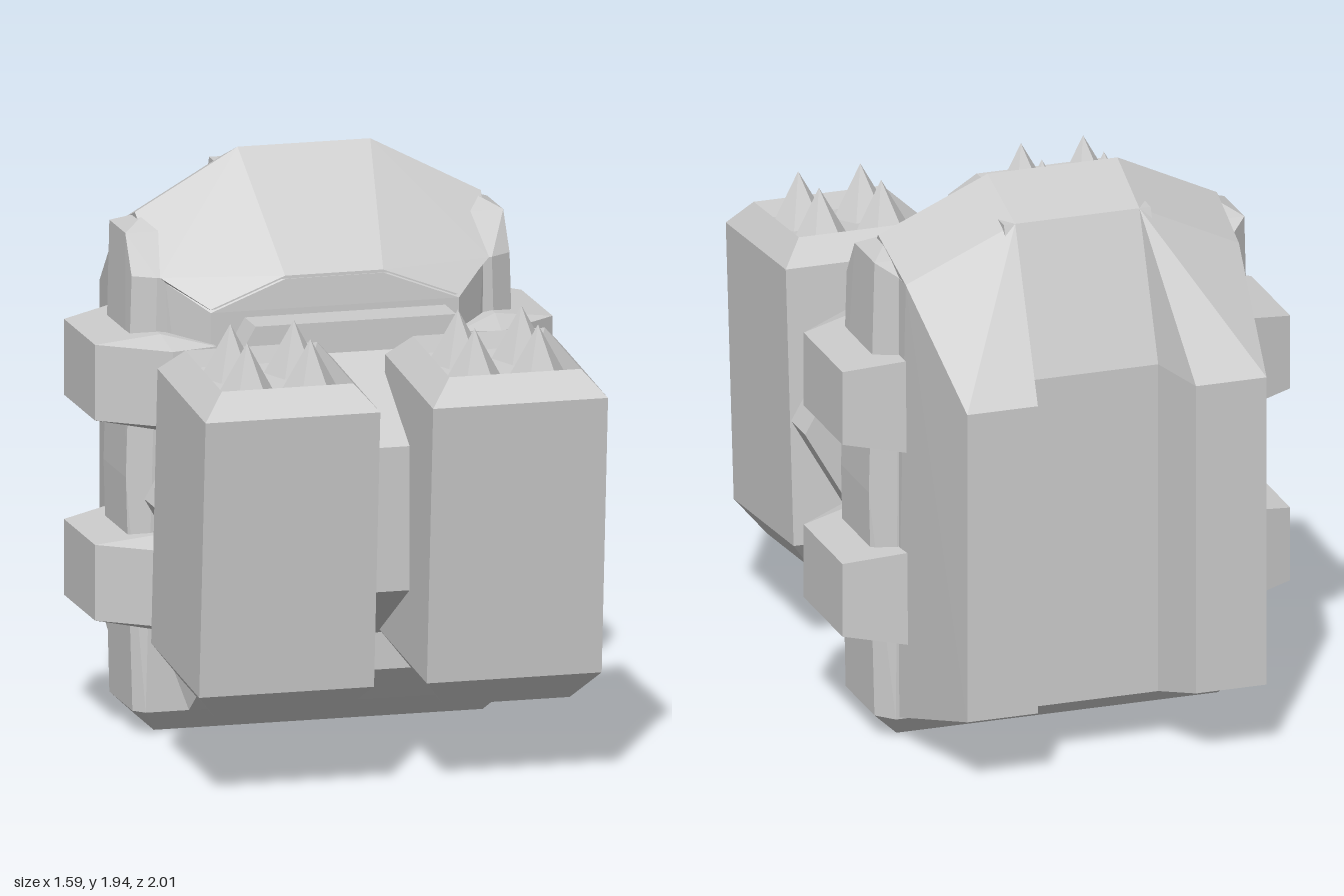
import * as THREE from 'three';
import { ConvexGeometry } from 'three/addons/geometries/ConvexGeometry.js';

const material = new THREE.MeshStandardMaterial({ color: 0xcccccc, flatShading: true });

function part(parent, name, geometry) {
  const mesh = new THREE.Mesh(geometry, material);
  mesh.name = name;
  parent.add(mesh);
  return mesh;
}

// Faceted solid around [x, y, z] points; mirrored adds the -x twin of each point
function solid(points, { mirrored = false, side = 1 } = {}) {
  const list = [];
  for (const [x, y, z] of points) {
    list.push(new THREE.Vector3(x * side, y, z));
    if (mirrored) list.push(new THREE.Vector3(-x, y, z));
  }
  return new ConvexGeometry(list);
}

// Six-sided disc along z with corners at left and right
function hexDisc(frontRadius, backRadius, y, zBack, zFront) {
  return new THREE.CylinderGeometry(frontRadius, backRadius, zFront - zBack, 6, 1, false, Math.PI / 2)
    .rotateX(Math.PI / 2).translate(0, y, (zBack + zFront) / 2);
}

// Square canister with bevelled ends, recessed top and four spikes
function makePod(x) {
  const pod = new THREE.Group();
  pod.name = 'pod';
  const profile = [[0, -0.59], [0.218, -0.59], [0.303, -0.482], [0.303, 0.482],
    [0.228, 0.565], [0.205, 0.51], [0, 0.51]]
    .map(([r, y]) => new THREE.Vector2(r * Math.SQRT2, y));
  part(pod, 'podCasing', new THREE.LatheGeometry(profile, 4, Math.PI / 4));
  for (const sx of [-1, 1]) {
    for (const sz of [-1, 1]) {
      const spike = part(pod, 'spike', new THREE.ConeGeometry(0.1, 0.18, 6, 1, false, Math.PI / 6));
      spike.position.set(sx * 0.11, 0.6, sz * 0.105);
    }
  }
  pod.position.set(x, 0.875, 0.665);
  pod.rotation.x = 0.083;
  return pod;
}

export function createModel() {
  const model = new THREE.Group();
  model.name = 'spikedPodPack';
  const both = { mirrored: true };

  // Main slab that carries the clamps
  part(model, 'bodyCore', solid([
    [0.57, 0, -0.17], [0.57, 0, -0.40],
    [0.62, 0.08, -0.09], [0.655, 0.08, -0.13], [0.655, 0.08, -0.42], [0.6, 0.08, -0.48],
    [0.675, 0.88, -0.14], [0.675, 0.88, -0.42],
    [0.58, 1.57, -0.09], [0.655, 1.57, -0.14],
    [0.655, 1.7, -0.22], [0.655, 1.7, -0.42], [0.59, 1.66, -0.48], [0.56, 1.75, -0.3],
  ], both));

  // Raised plate on the front
  part(model, 'frontPlate', solid([
    [0.43, 0.24, 0.04], [0.43, 1.47, 0.04], [0.17, 1.57, 0.035],
    [0.47, 0.08, -0.09], [0.53, 0.24, -0.09], [0.55, 1.55, -0.09],
    [0.47, 0.08, -0.2], [0.53, 1.57, -0.2],
  ], both));

  // Sloping cap
  part(model, 'dome', solid([
    [0.23, 1.94, -0.35], [0.22, 1.85, -0.6], [0.59, 1.66, -0.55], [0.6, 1.75, -0.3],
    [0.17, 1.58, 0.03], [0.43, 1.48, 0.035], [0.57, 1.57, -0.09], [0.5, 1.4, -0.4],
  ], both));

  // Back: sunken channel between two tall ridges
  part(model, 'backChannel', solid([
    [0.26, 1.85, -0.6], [0.26, 1.36, -0.79], [0.26, 0.19, -0.79],
    [0.26, 0.08, -0.44], [0.26, 1.85, -0.4],
  ], both));
  for (const side of [-1, 1]) {
    part(model, 'backRidge', solid([
      [0.28, 1.35, -1], [0.53, 1.35, -1], [0.28, 0.25, -1], [0.53, 0.25, -1],
      [0.22, 1.85, -0.6], [0.59, 1.66, -0.55], [0.22, 1.36, -0.79], [0.22, 0.19, -0.79],
      [0.59, 0.08, -0.46], [0.22, 0.08, -0.46], [0.59, 1.66, -0.4], [0.22, 1.85, -0.4],
    ], { side }));

    // Clamps wrapping the sides
    for (const y of [1.222, 0.535]) {
      const points = [];
      for (const s of [-1, 1]) {
        points.push([0.793, y + s * 0.13, -0.1], [0.793, y + s * 0.13, -0.49],
          [0.57, y + s * 0.13, 0.07], [0.42, y + s * 0.14, 0.07],
          [0.58, y + s * 0.165, -0.55], [0.58, y + s * 0.165, -0.05], [0.42, y + s * 0.14, 0]);
      }
      part(model, 'sideClamp', solid(points, { side }));
    }
  }

  // Mount: hexagonal collar and plate, tapered arm
  part(model, 'mountCollar', hexDisc(0.418, 0.475, 0.86, 0.02, 0.17));
  part(model, 'mountPlate', hexDisc(0.695, 0.695, 0.877, 0.165, 0.305));
  const arm = [];
  for (const x of [-0.12, 0.14]) {
    arm.push([x, 1.375, 0.3], [x, 0.4, 0.3], [x, 1.135, 0.71], [x, 0.64, 0.71]);
  }
  part(model, 'mountArm', solid(arm));

  // Twin pods
  for (const x of [-0.412, 0.377]) model.add(makePod(x));
  return model;
}
